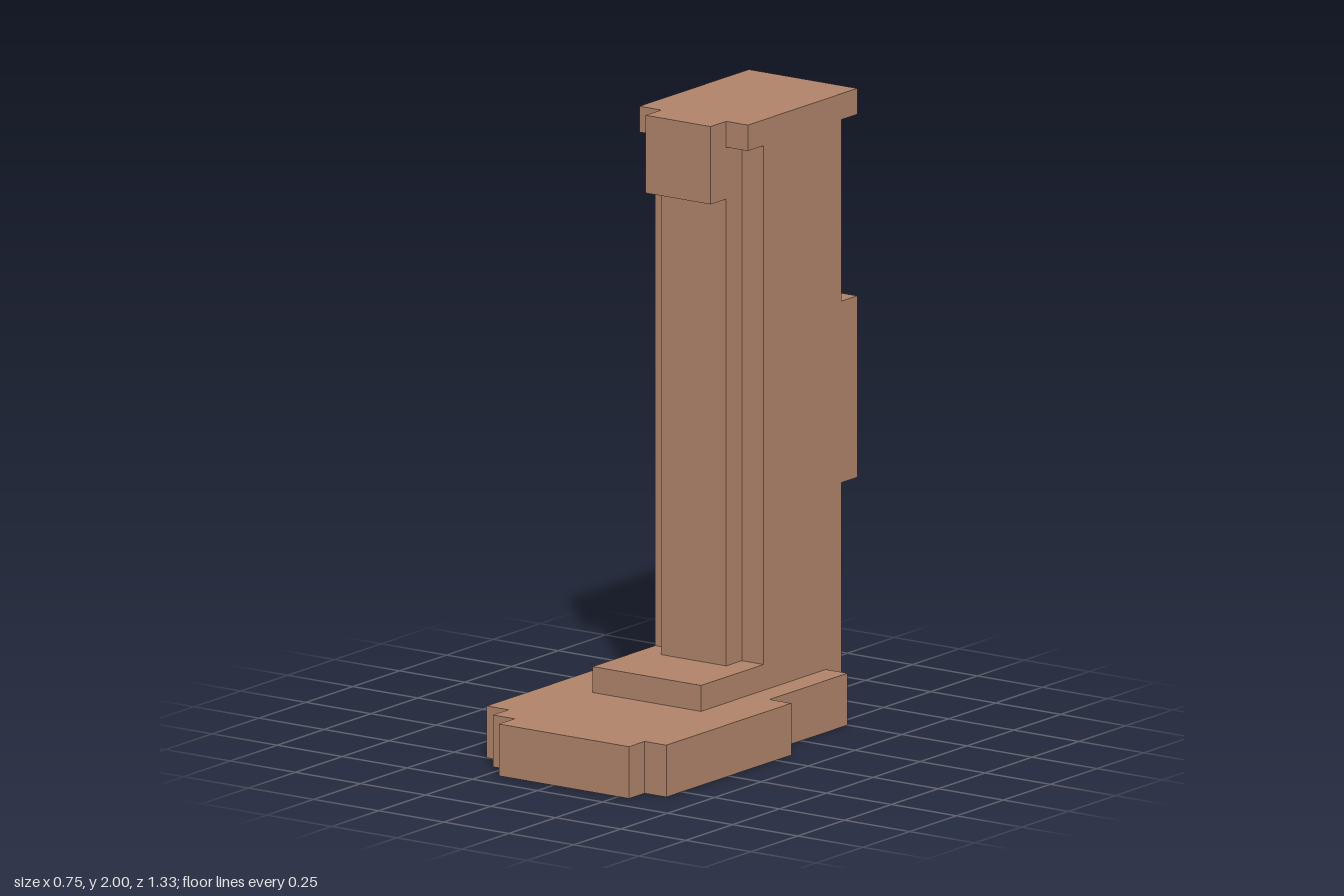
import * as THREE from 'three';

const U = 1 / 12; // grid step of the blocky design

export function createModel() {
  const model = new THREE.Group();
  const clay = new THREE.MeshStandardMaterial({ color: 0xb0846a });
  clay.name = 'clay brown';

  // Extrudes an [x, z] outline, in grid steps, from height y0 to y1
  function slab(name, outline, y0, y1) {
    const shape = new THREE.Shape(outline.map(([x, z]) => new THREE.Vector2(x * U, -z * U)));
    const geometry = new THREE.ExtrudeGeometry(shape, { depth: (y1 - y0) * U, bevelEnabled: false });
    geometry.rotateX(-Math.PI / 2);
    geometry.translate(0, y0 * U, 0);
    const mesh = new THREE.Mesh(geometry, clay);
    mesh.name = name;
    model.add(mesh);
  }

  // Completes a right-hand outline with its mirror image
  const mirrored = half => [...half, ...half.map(([x, z]) => [-x, z]).reverse()];

  const notchedBack = [[1.5, -8], [1.5, -7], [2.5, -7]];
  const squareBack = [[2.5, -8]];
  const notchedFront = [[2.5, -2], [1.5, -2], [1.5, -1]];

  // Foot with stepped, slightly uneven sides
  slab('base', [
    ...notchedBack, [2.5, -6], [3.5, -6], [3.5, -1], [4.5, -1], [4.5, 7], [3.5, 7], [3.5, 8],
    [-2.5, 8], [-2.5, 7], [-3.5, 7], [-3.5, 6], [-4.5, 6], [-4.5, -2], [-3.5, -2], [-3.5, -6],
    [-2.5, -6], [-2.5, -7], [-1.5, -7], [-1.5, -8],
  ], 0, 2);
  slab('plinth', mirrored([...notchedBack, [2.5, 2]]), 2, 3);

  // Column, with its rear corners cut away above and below the middle
  slab('lowerColumn', mirrored([...notchedBack, ...notchedFront]), 3, 9);
  slab('middleColumn', mirrored([...squareBack, ...notchedFront]), 9, 16);
  slab('upperColumn', mirrored([...notchedBack, ...notchedFront]), 16, 23);

  // Cap and the block overhanging the front
  slab('cap', mirrored([...squareBack, [2.5, -1]]), 23, 24);
  slab('frontOverhang', mirrored([[1.5, -1], [1.5, 0]]), 21, 24);

  return model;
}
